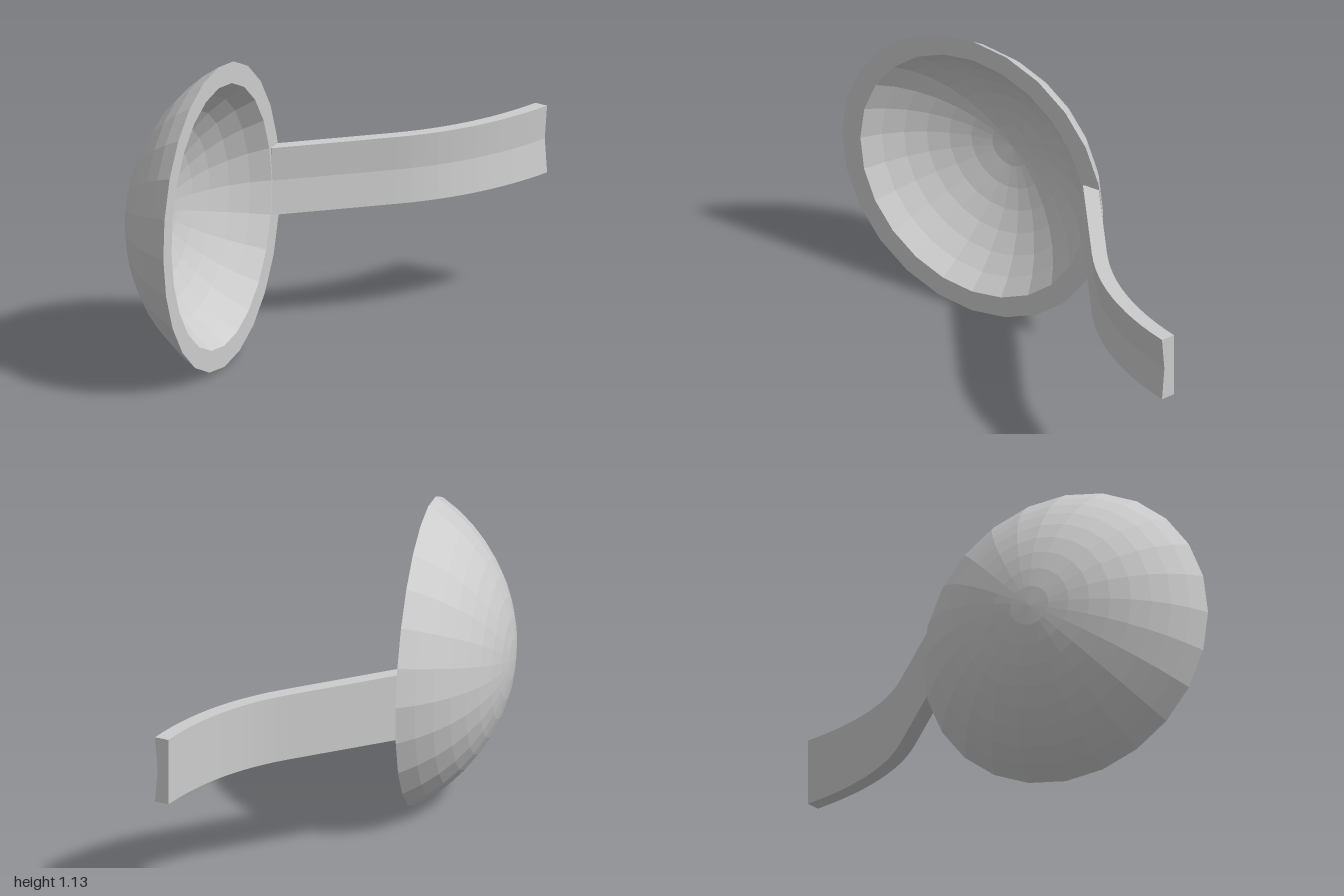
import * as THREE from 'three';

const steel = new THREE.MeshStandardMaterial({ color: 0xcccccc, flatShading: true });
steel.name = 'plain grey';

// Thick spherical cap, open towards +y, rim in the plane y = 0
function bowlGeometry() {
  const centre = 0.326;
  const arc = (rimRadius, steps) => {
    const R = Math.hypot(rimRadius, centre), end = Math.atan2(rimRadius, centre);
    return Array.from({ length: steps + 1 }, (_, i) => {
      const a = (end * i) / steps;
      return new THREE.Vector2(R * Math.sin(a), centre - R * Math.cos(a));
    });
  };
  const outer = arc(0.565, 9);
  const inner = arc(0.486, 7).reverse();
  return new THREE.LatheGeometry([...outer, ...inner], 24);
}

// Flat strap that leaves the rim straight, then bends; its front is a shallow V
function handleGeometry() {
  const half = 0.126, thick = 0.055, groove = 0.011, bend = 12;
  const curve = new THREE.QuadraticBezierCurve(
    new THREE.Vector2(0.35, 0.005), new THREE.Vector2(0.64, 0.131), new THREE.Vector2(1, 0.059));
  const stations = [{ p: new THREE.Vector2(-0.086, -0.187), t: curve.getTangent(0) }];
  for (let i = 0; i <= bend; i++) stations.push({ p: curve.getPoint(i / bend), t: curve.getTangent(i / bend) });

  const pos = [], index = [], n = 5;
  for (const { p, t } of stations) {
    const y = 0.566 + 0.011 * p.x;
    // front top, front middle, front bottom, back bottom, back top
    const section = [[half, 0], [0, groove], [-half, 0], [-half, thick], [half, thick]];
    for (const [h, d] of section) pos.push(p.x + t.y * d, y + h, p.y - t.x * d);
  }
  for (let i = 0; i < stations.length - 1; i++) {
    for (let j = 0; j < n; j++) {
      const a = i * n + j, b = i * n + (j + 1) % n;
      index.push(a, b, b + n, a, b + n, a + n);
    }
  }
  // End caps
  const last = (stations.length - 1) * n;
  for (const [a, b, c] of [[1, 2, 3], [1, 3, 4], [1, 4, 0]]) {
    index.push(last + a, last + b, last + c, a, c, b);
  }
  const geo = new THREE.BufferGeometry();
  geo.setAttribute('position', new THREE.Float32BufferAttribute(pos, 3));
  geo.setIndex(index);
  geo.computeVertexNormals();
  return geo;
}

export function createModel() {
  const group = new THREE.Group();
  group.name = 'scoop';

  // Bowl turned sideways and tipped very slightly upward
  const bowl = new THREE.Mesh(bowlGeometry(), steel);
  bowl.name = 'bowl';
  const along = new THREE.Vector3(0.876, 0.008, -0.482).normalize();
  const facing = new THREE.Vector3(0.482, 0.018, 0.876);
  const down = new THREE.Vector3().crossVectors(along, facing).normalize();
  facing.crossVectors(down, along);
  bowl.quaternion.setFromRotationMatrix(new THREE.Matrix4().makeBasis(along, facing, down));
  bowl.position.set(-0.507, 0.565, 0.043);
  group.add(bowl);

  const handle = new THREE.Mesh(handleGeometry(), steel);
  handle.name = 'handle';
  group.add(handle);

  return group;
}
